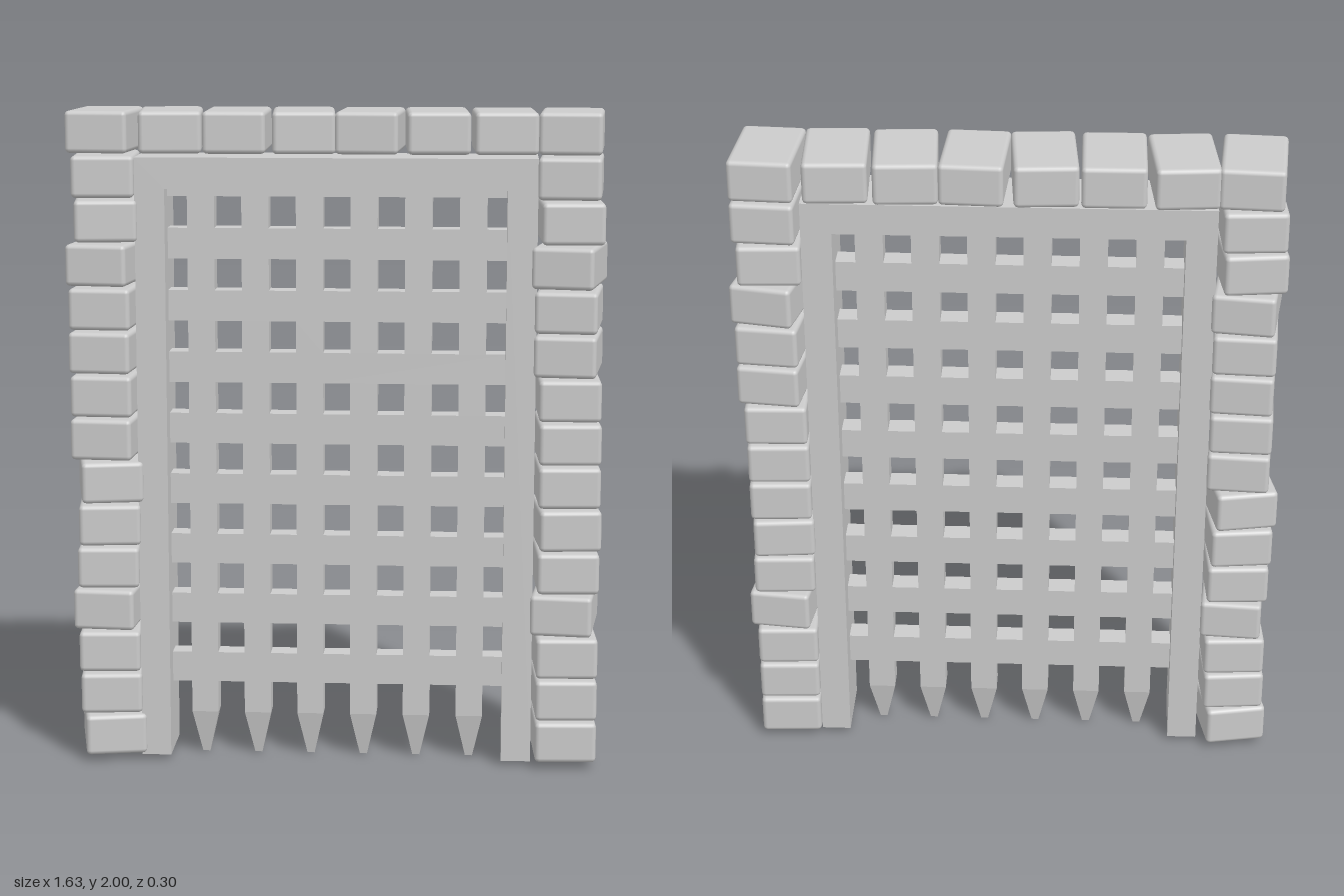
import * as THREE from 'three';
import { RoundedBoxGeometry } from 'three/addons/geometries/RoundedBoxGeometry.js';

const material = new THREE.MeshStandardMaterial({ color: 0xcccccc });

function add(parent, name, geometry, x = 0, y = 0, z = 0, turn = 0) {
  const mesh = new THREE.Mesh(geometry, material);
  mesh.name = name;
  mesh.position.set(x, y, z);
  mesh.rotation.y = turn;
  parent.add(mesh);
  return mesh;
}

function group(parent, name) {
  const g = new THREE.Group();
  g.name = name;
  parent.add(g);
  return g;
}

function rectangle(path, x0, y0, x1, y1) {
  path.moveTo(x0, y0).lineTo(x1, y0).lineTo(x1, y1).lineTo(x0, y1).closePath();
  return path;
}

function slab(shape, depth) {
  const g = new THREE.ExtrudeGeometry(shape, { depth, bevelEnabled: false });
  return g.translate(0, 0, -depth / 2);
}

export function createModel() {
  const model = new THREE.Group();
  model.name = 'castleGate';

  // Stone surround: each block is turned slightly about the vertical
  const stone = new RoundedBoxGeometry(0.187, 0.125, 0.275, 2, 0.014);
  const pitch = 0.1324, topY = 1.9375;
  const topTurns = [-0.07, 0.09, 0.01, 0.07, -0.05, 0.06, 0.05, -0.06];
  const rightTurns = [0.06, 0.12, -0.13, -0.06, -0.08, -0.05, -0.07, 0.19, 0.11, 0.06, -0.07, 0.06, 0.09, 0.19];
  const leftTurns = [-0.06, 0.05, -0.19, -0.1, -0.11, 0.03, 0.05, 0.05, 0.09, 0.05, -0.11, 0.05, 0.05, 0.05];

  const lintel = group(model, 'topStones');
  topTurns.forEach((turn, i) => add(lintel, 'topStone', stone, -0.7 + i * 0.2, topY, 0, turn));

  for (const [name, x, turns] of [['rightStones', -0.7, rightTurns], ['leftStones', 0.7, leftTurns]]) {
    const column = group(model, name);
    turns.forEach((turn, i) => add(column, 'sideStone', stone, x, topY - (i + 1) * pitch, 0, turn));
  }

  // Plain frame, open at the bottom
  const outline = new THREE.Shape([
    [-0.6, 0.015], [-0.51, 0.015], [-0.51, 1.768], [0.51, 1.768],
    [0.51, 0.015], [0.6, 0.015], [0.6, 1.862], [-0.6, 1.862],
  ].map(([x, y]) => new THREE.Vector2(x, y)));
  add(model, 'frame', slab(outline, 0.21));

  // Lattice: a panel pierced between six uprights and eight crossbars
  const grate = group(model, 'portcullis');
  const barGap = 0.164, barWidth = 0.082, thickness = 0.07;
  const rowGap = 0.1885, barHeight = 0.093, firstRow = 0.28;
  const barX = Array.from({ length: 6 }, (_, i) => (i - 2.5) * barGap);
  const panelBottom = firstRow - barHeight / 2;
  const panel = rectangle(new THREE.Shape(), -0.53, panelBottom, 0.53, 1.79);
  for (let row = 0; row < 8; row++) {
    const y0 = firstRow + row * rowGap + barHeight / 2;
    const y1 = Math.min(y0 + rowGap - barHeight, 1.775);
    for (let col = 0; col <= 6; col++) {
      const x0 = col === 0 ? -0.52 : barX[col - 1] + barWidth / 2;
      const x1 = col === 6 ? 0.52 : barX[col] - barWidth / 2;
      panel.holes.push(rectangle(new THREE.Path(), x0, y0, x1, y1));
    }
  }
  add(grate, 'lattice', slab(panel, thickness));

  // Upright ends below the lattice, each tapering to a blunt spike
  const shoulder = 0.135;
  const barEnd = new THREE.BoxGeometry(barWidth, panelBottom - shoulder, thickness);
  const spike = new THREE.CylinderGeometry(Math.SQRT1_2, Math.SQRT1_2 * 0.27, shoulder, 4, 1)
    .rotateY(Math.PI / 4)
    .scale(barWidth, 1, thickness)
    .toNonIndexed();
  spike.computeVertexNormals();
  for (const x of barX) {
    add(grate, 'barEnd', barEnd, x, (panelBottom + shoulder) / 2);
    add(grate, 'spike', spike, x, shoulder / 2);
  }

  return model;
}
